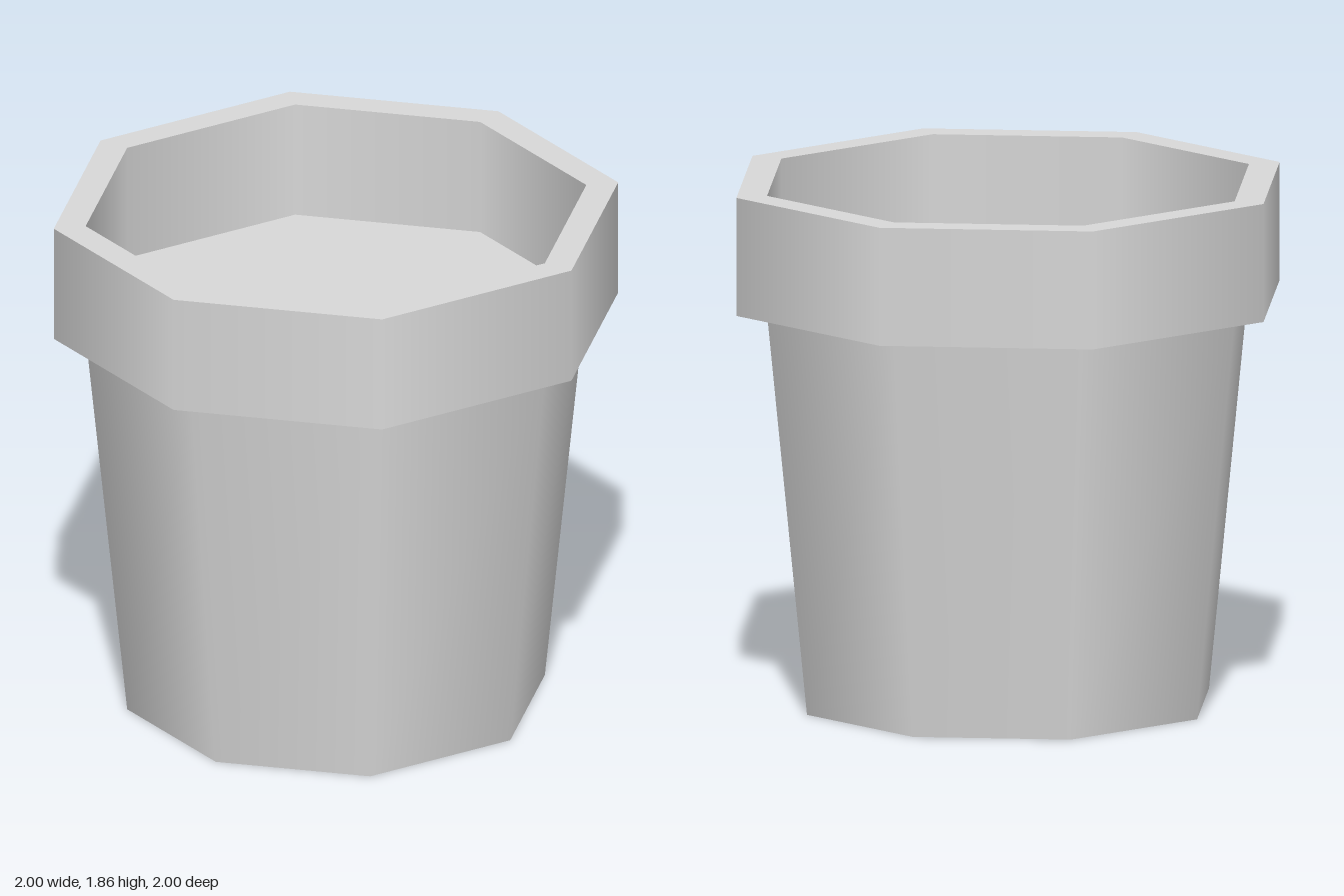
import * as THREE from 'three';

const SIDES = 8;
const BODY_TOP = 1.436, RIM_TOP = 1.856, INNER = 0.887;

// Nudge the diagonal corners of the octagon, which are slightly uneven.
function octagon(geometry) {
  const p = geometry.attributes.position;
  for (let i = 0; i < p.count; i++) {
    const x = p.getX(i), z = p.getZ(i);
    if (Math.abs(x) > 0.01 && Math.abs(z) > 0.01) p.setXYZ(i, x * 0.986, p.getY(i), z * 1.028);
  }
  return geometry;
}

// Upright wall: faces outward when drawn upward, inward when drawn downward.
function wall(radius, fromY, toY) {
  return new THREE.LatheGeometry([new THREE.Vector2(radius, fromY), new THREE.Vector2(radius, toY)], SIDES);
}

export function createModel() {
  const pot = new THREE.Group();
  pot.name = 'flowerPot';
  const grey = new THREE.MeshStandardMaterial({ color: 0xd8d8d8 });
  grey.name = 'light grey';

  const add = (name, geometry) => {
    const mesh = new THREE.Mesh(octagon(geometry), grey);
    mesh.name = name;
    pot.add(mesh);
  };

  // Tapered body; its top cap is the floor inside the rim
  add('body', new THREE.CylinderGeometry(INNER, 0.74, BODY_TOP, SIDES).translate(0, BODY_TOP / 2, 0));

  // Rim walls
  add('rimOuterWall', wall(1, BODY_TOP, RIM_TOP));
  add('rimInnerWall', wall(INNER, RIM_TOP, BODY_TOP));

  // Flat faces closing the rim above and below
  const ring = (turn, y) => new THREE.RingGeometry(INNER, 1, SIDES).rotateX(turn).translate(0, y, 0);
  add('rimTop', ring(-Math.PI / 2, RIM_TOP));
  add('rimUnderside', ring(Math.PI / 2, BODY_TOP));

  return pot;
}
